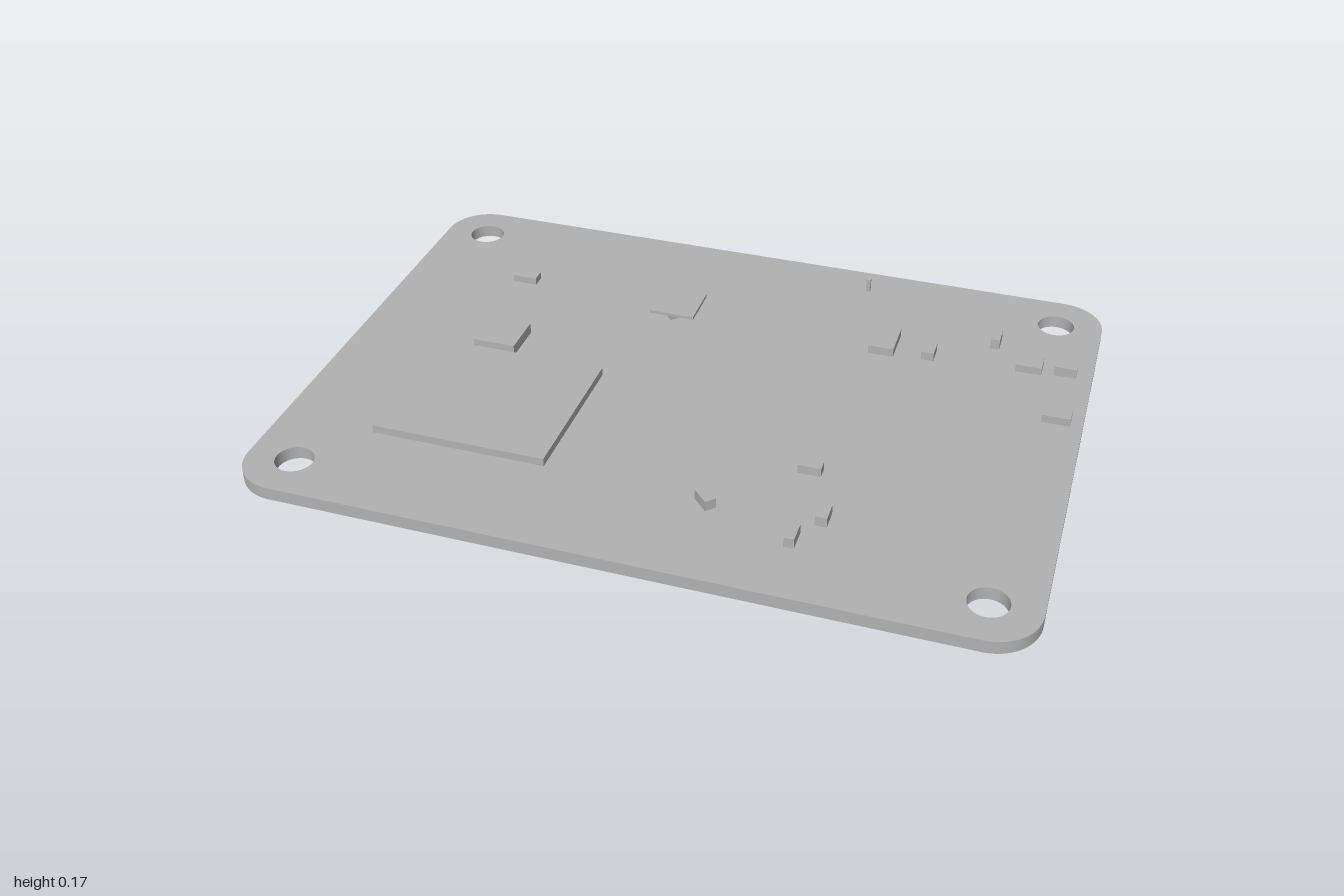
import * as THREE from 'three';

export function createModel() {
  const model = new THREE.Group();
  model.name = 'circuitBoard';
  const grey = new THREE.MeshStandardMaterial({ color: 0xb2b2b2 });
  grey.name = 'plainGrey';

  const add = (name, geometry) => {
    const mesh = new THREE.Mesh(geometry, grey);
    mesh.name = name;
    model.add(mesh);
    return mesh;
  };
  // box given by its limits on each axis
  const block = (name, x0, x1, y0, y1, z0, z1) => {
    const mesh = add(name, new THREE.BoxGeometry(x1 - x0, y1 - y0, z1 - z0));
    mesh.position.set((x0 + x1) / 2, (y0 + y1) / 2, (z0 + z1) / 2);
    return mesh;
  };

  const under = 0.095, top = 0.13;

  // board with rounded corners and four mounting holes
  const w = 1, d = 0.725, r = 0.12;
  const outline = new THREE.Shape();
  outline.absarc(w - r, d - r, r, 0, Math.PI / 2);
  outline.absarc(r - w, d - r, r, Math.PI / 2, Math.PI);
  outline.absarc(r - w, r - d, r, Math.PI, Math.PI * 1.5);
  outline.absarc(w - r, r - d, r, Math.PI * 1.5, Math.PI * 2);
  for (const sx of [-1, 1]) for (const sz of [-1, 1]) {
    outline.holes.push(new THREE.Path().absarc(sx * 0.873, sz * 0.6, 0.05, 0, Math.PI * 2, true));
  }
  const boardGeo = new THREE.ExtrudeGeometry(outline, { depth: top - under, bevelEnabled: false, curveSegments: 16 });
  boardGeo.rotateX(-Math.PI / 2).translate(0, under, 0);
  add('board', boardGeo);

  // chips on the upper face
  block('mainChip', -0.73, -0.26, 0.14, 0.162, 0.03, 0.45);
  block('mainChipSupport', -0.68, -0.53, top, 0.14, 0.1, 0.28);
  block('squareChip', -0.65, -0.53, top, 0.16, -0.12, 0);
  block('sensorLid', -0.24, -0.11, 0.143, 0.152, -0.43, -0.3);
  const sensor = block('sensorBody', -0.22, -0.13, top, 0.143, -0.41, -0.32);
  sensor.rotation.y = Math.PI / 4;
  block('pin', 0.319, 0.331, top, 0.17, -0.63, -0.62);

  // small upper components: centre x, centre z, width, depth, height
  const upper = [
    [-0.65, -0.385, 0.07, 0.04, 0.02], [0.43, -0.36, 0.07, 0.11, 0.025],
    [0.557, -0.345, 0.035, 0.055, 0.025], [0.725, -0.457, 0.025, 0.055, 0.03],
    [0.83, -0.365, 0.07, 0.055, 0.022], [0.927, -0.362, 0.06, 0.025, 0.028],
    [0.93, -0.155, 0.075, 0.06, 0.022], [0.375, 0.258, 0.06, 0.03, 0.025],
    [0.45, 0.43, 0.03, 0.055, 0.028], [0.397, 0.525, 0.026, 0.06, 0.028],
    [0.162, 0.455, 0.055, 0.03, 0.028, -Math.PI / 4],
  ];
  for (const [x, z, a, b, h, turn = 0] of upper) {
    block('upperComponent', x - a / 2, x + a / 2, top, top + h, z - b / 2, z + b / 2).rotation.y = turn;
  }

  // large parts on the lower face
  block('sideModule', 0.54, 0.975, 0.047, under, -0.18, 0.285);
  block('sideChip', 0.7, 0.95, 0.06, under, -0.47, -0.2);
  block('cornerModuleBase', -0.72, -0.3, 0.065, under, 0.05, 0.56);
  block('cornerModule', -0.7, -0.315, 0.027, 0.065, 0.06, 0.545);
  block('cornerConnector', -0.96, -0.85, 0.047, under, 0.33, 0.43);
  block('slotPanel', -0.11, 0.43, 0.062, 0.085, -0.4, 0.6);
  block('slotHousing', -0.14, 0.46, 0.05, 0.08, -0.41, 0.2);
  block('slotBase', -0.1, 0.42, 0.08, under, -0.4, 0.28);

  // bent cover of the slot, drawn as a z-y profile
  const path = [[-0.42, 0.036], [-0.325, 0.036], [-0.3, 0], [0.08, 0], [0.105, 0.03], [0.2, 0.03]];
  const profile = new THREE.Shape([
    ...path.map(([z, y]) => new THREE.Vector2(z, y)),
    ...path.slice().reverse().map(([z, y]) => new THREE.Vector2(z, y + 0.015)),
  ]);
  const cover = new THREE.ExtrudeGeometry(profile, { depth: 0.62, bevelEnabled: false });
  cover.rotateY(-Math.PI / 2).translate(0.47, 0, 0);
  add('slotCover', cover);

  // controller chip and the small components around it
  block('controllerChip', -0.77, -0.54, 0.07, under, -0.48, -0.26);
  const lower = [
    [-0.427, -0.443, 0.05, 0.06], [-0.424, -0.358, 0.05, 0.05], [-0.415, -0.25, 0.05, 0.06],
    [-0.506, -0.6, 0.05, 0.07], [-0.604, -0.6, 0.05, 0.07], [-0.72, -0.595, 0.05, 0.07],
    [-0.813, -0.469, 0.07, 0.05], [-0.827, -0.314, 0.07, 0.05], [-0.435, -0.166, 0.05, 0.08],
    [-0.5, -0.166, 0.06, 0.08], [-0.65, -0.165, 0.06, 0.09], [-0.73, -0.165, 0.05, 0.09],
    [-0.8, -0.165, 0.06, 0.06], [-0.396, 0.016, 0.06, 0.04],
  ];
  for (const [x, z, a, b] of lower) {
    block('lowerComponent', x - a / 2, x + a / 2, 0.062, under, z - b / 2, z + b / 2);
  }
  return model;
}
